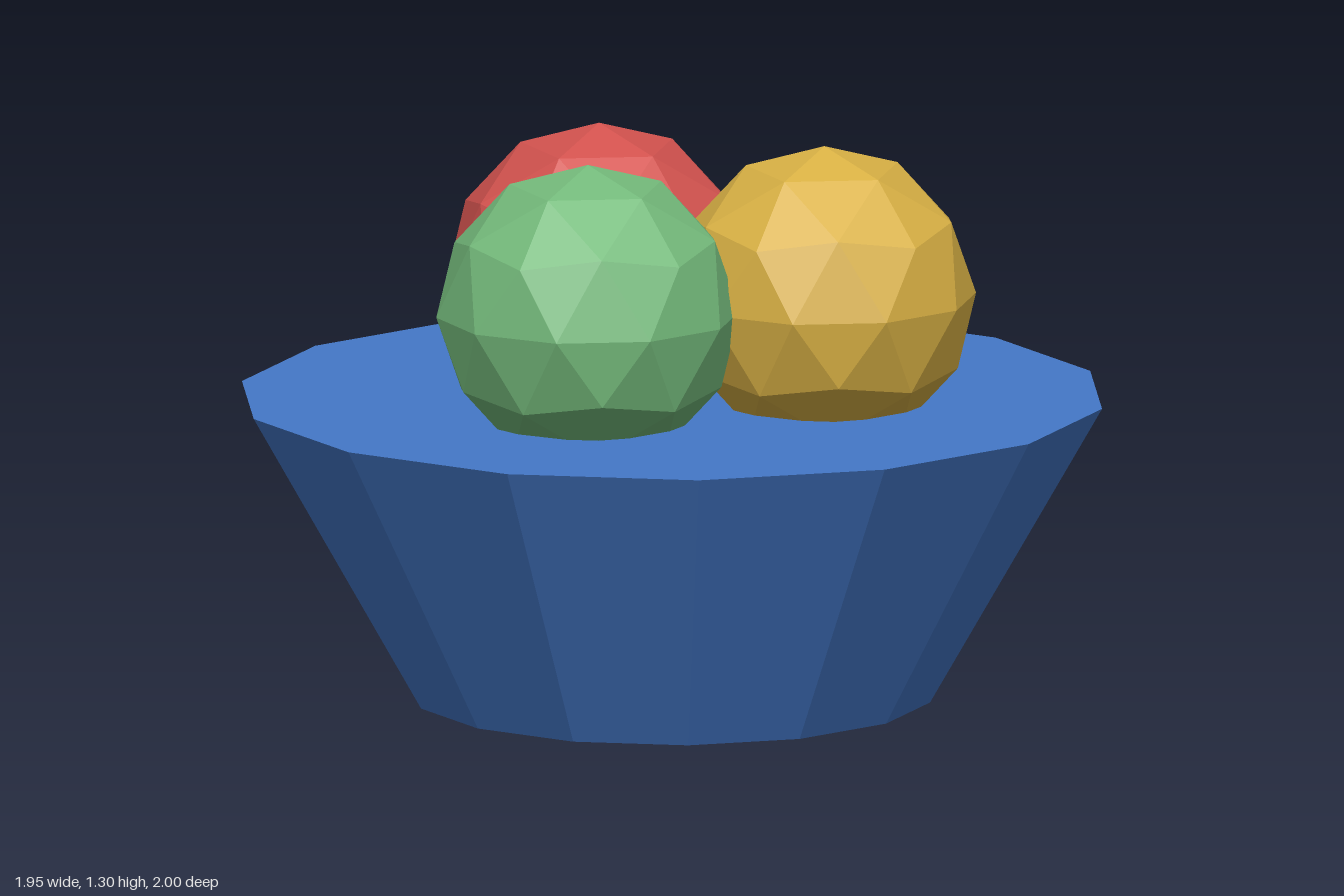
import * as THREE from 'three';

function material(name, color) {
  const m = new THREE.MeshStandardMaterial({ color, flatShading: true });
  m.name = name;
  return m;
}

export function createModel() {
  const model = new THREE.Group();
  model.name = 'fruitBowl';

  // Solid tapered bowl with fourteen flat sides
  const bowlGeometry = new THREE.CylinderGeometry(1, 0.6, 0.7, 14).toNonIndexed();
  bowlGeometry.computeVertexNormals();
  const bowl = new THREE.Mesh(bowlGeometry, material('blue', 0x4478c8));
  bowl.name = 'bowl';
  bowl.position.y = 0.35;
  model.add(bowl);

  // Faceted fruit ball, turned so a corner points straight up
  const fruitGeometry = new THREE.IcosahedronGeometry(0.35, 1);
  fruitGeometry.rotateZ(-Math.atan(2 / (1 + Math.sqrt(5))));
  fruitGeometry.computeVertexNormals();

  const fruits = [
    ['redFruit', 'red', 0xd2524e, -0.25, 0],
    ['yellowFruit', 'yellow', 0xd8b044, 0.3, -0.2],
    ['greenFruit', 'green', 0x74ba7b, 0.1, 0.35],
  ];
  for (const [name, colorName, color, x, z] of fruits) {
    const fruit = new THREE.Mesh(fruitGeometry, material(colorName, color));
    fruit.name = name;
    fruit.position.set(x, 0.95, z);
    model.add(fruit);
  }

  return model;
}
